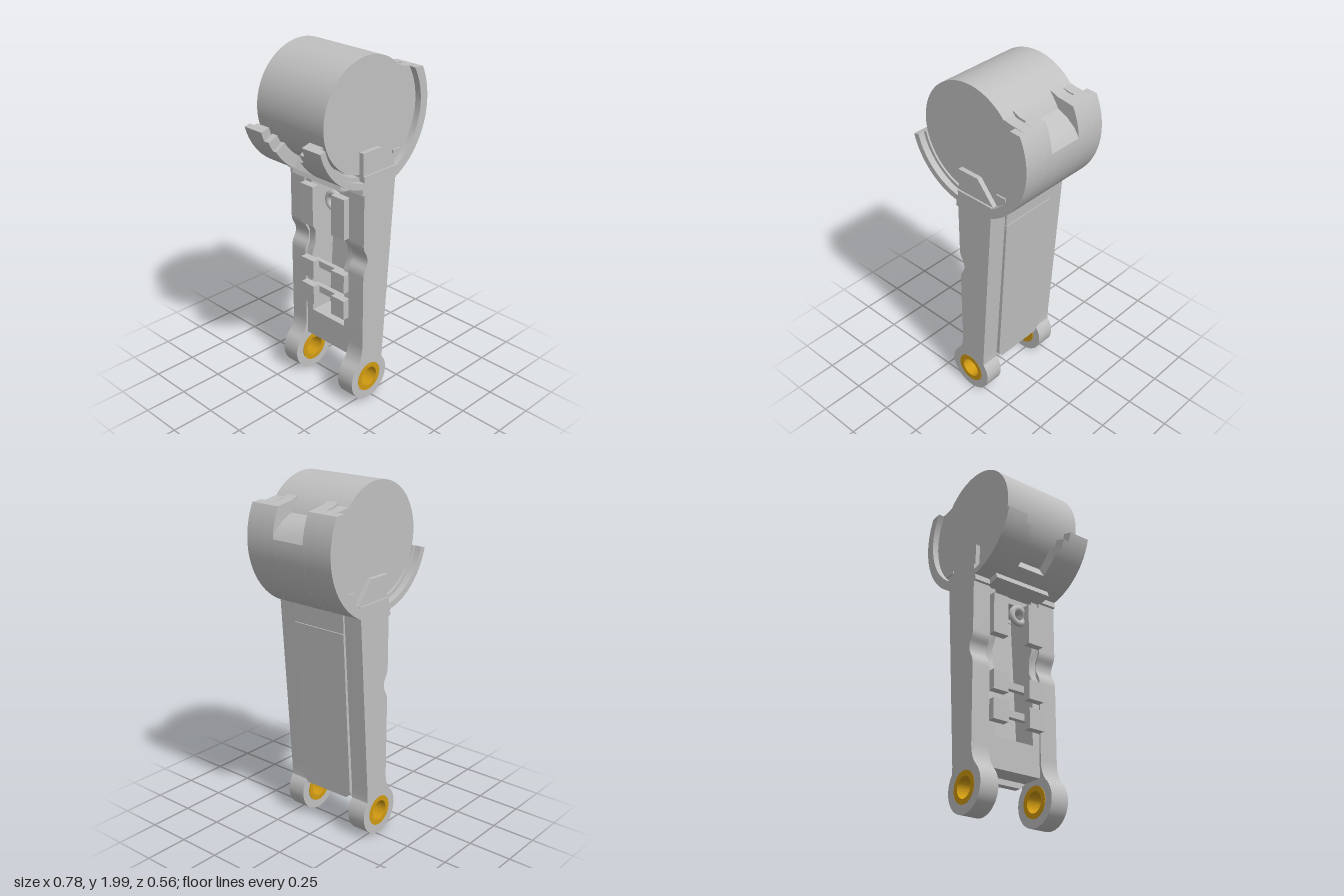
import * as THREE from 'three';
import { toCreasedNormals } from 'three/addons/utils/BufferGeometryUtils.js';

const grey = new THREE.MeshStandardMaterial({ color: 0xc0c0c0 });
grey.name = 'castGrey';
const brass = new THREE.MeshStandardMaterial({ color: 0xd09a12 });
brass.name = 'brass';

const CX = -0.024, DRUM_Y = 1.69, EYE_Y = 0.143;
const V = (x, y) => new THREE.Vector2(x, y);

// points on an arc about the drum axis, angles in degrees
function arc(r, a0, a1, n = 40) {
  return Array.from({ length: n + 1 }, (_, i) => {
    const a = THREE.MathUtils.degToRad(a0 + ((a1 - a0) * i) / n);
    return V(CX + r * Math.cos(a), DRUM_Y + r * Math.sin(a));
  });
}

function extrude(shape, z0, z1) {
  const g = new THREE.ExtrudeGeometry(shape, { depth: z1 - z0, bevelEnabled: false, curveSegments: 28 });
  g.translate(0, 0, z0);
  return toCreasedNormals(g, 0.5);
}

export function createModel() {
  const model = new THREE.Group();
  model.name = 'drumLink';
  const add = (name, geometry, material = grey) => {
    const m = new THREE.Mesh(geometry, material);
    m.name = name;
    model.add(m);
    return m;
  };
  // same outline on the +z and -z sides
  const pair = (name, shape, z0, z1, material) => {
    add(name + 'Front', extrude(shape, z0, z1), material);
    add(name + 'Back', extrude(shape, -z1, -z0), material);
  };
  const box = (name, x0, x1, y0, y1, z0, z1) => {
    const g = new THREE.BoxGeometry(x1 - x0, y1 - y0, z1 - z0);
    add(name, g.translate((x0 + x1) / 2, (y0 + y1) / 2, (z0 + z1) / 2));
  };
  const boxPair = (name, x0, x1, y0, y1, z0, z1) => {
    box(name + 'Front', x0, x1, y0, y1, z0, z1);
    box(name + 'Back', x0, x1, y0, y1, -z1, -z0);
  };

  // drum
  const drum = new THREE.CylinderGeometry(0.31, 0.31, 0.486, 96);
  drum.rotateX(Math.PI / 2).translate(CX, DRUM_Y, 0);
  add('drum', drum);

  // cradle on the +x side, in slices along z with their own top edges
  const cradle = (rIn, aIn, aOut, end, top) =>
    new THREE.Shape([...arc(0.414, aOut, end), ...arc(rIn, end, aIn), ...top]);
  const notch = cradle(0.3, 28, 4, -109, [V(0.25, 1.833), V(0.31, 1.805), V(0.36, 1.765)]);
  add('cradleMiddle', extrude(notch, -0.1, 0.1));
  const clip = cradle(0.3, 40, 27, -109, [V(0.2, 1.912), V(0.245, 1.893), V(0.285, 1.888)]);
  pair('clipInner', clip, 0.1, 0.17);
  const slot = cradle(0.3, 26, 27, -109, [V(0.285, 1.83), V(0.285, 1.888)]);
  pair('clipSlot', slot, 0.17, 0.182);
  const clipOuter = cradle(0.3, 38, 27, -100, [V(0.212, 1.898), V(0.25, 1.89), V(0.285, 1.886)]);
  pair('clipOuter', clipOuter, 0.182, 0.243);
  pair('cradleLip', cradle(0.362, 32, 27, -100, []), 0.243, 0.28);
  boxPair('rimStop', 0.165, 0.225, 1.438, 1.456, 0.24, 0.252);

  // curved fingers on the -x side
  const finger = (rIn, end) => new THREE.Shape([...arc(0.38, -90, end, 24), ...arc(rIn, end, -90, 24)]);
  pair('fingerLip', finger(0.345, -165), 0.243, 0.28);
  pair('finger', finger(0.325, -165), 0.15, 0.243);
  pair('fingerShoulder', finger(0.315, -157), 0.115, 0.15);
  pair('fingerRoot', finger(0.305, -148), 0.09, 0.115);
  add('fingerBridge', extrude(finger(0.3, -122), -0.09, 0.09));

  // side arms with a bored eye at the foot
  const arm = new THREE.Shape();
  arm.moveTo(0.158, 1.383);
  arm.lineTo(-0.08, 1.383);
  arm.lineTo(-0.08, 0.99);
  arm.bezierCurveTo(-0.08, 0.94, -0.05, 0.94, -0.05, 0.89);
  arm.bezierCurveTo(-0.05, 0.85, -0.08, 0.85, -0.08, 0.79);
  arm.lineTo(-0.08, 0.36);
  arm.quadraticCurveTo(-0.08, 0.285, -0.121, 0.24);
  arm.absarc(CX, EYE_Y, 0.137, Math.PI * 0.75, Math.PI * 2.22, false);
  arm.quadraticCurveTo(0.08, 0.25, 0.083, 0.3);
  arm.closePath();
  const bore = new THREE.Path();
  bore.absarc(CX, EYE_Y, 0.087, 0, Math.PI * 2, true);
  arm.holes.push(bore);
  pair('arm', arm, 0.17, 0.28);

  // pointed tabs holding the drum faces
  pair('drumTab', new THREE.Shape([
    V(-0.08, 1.32), V(0.165, 1.32), V(0.16, 1.383), V(0.055, 1.508), V(-0.08, 1.508),
  ]), 0.2, 0.27);

  // eye bushings
  const ring = new THREE.Shape();
  ring.absarc(CX, EYE_Y, 0.087, 0, Math.PI * 2, false);
  const hole = new THREE.Path();
  hole.absarc(CX, EYE_Y, 0.058, 0, Math.PI * 2, true);
  ring.holes.push(hole);
  pair('bushing', ring, 0.166, 0.281, brass);

  // sloping cover panel between the arms, outlined in z and y
  const panel = (name, pts, out) => {
    const g = new THREE.ExtrudeGeometry(new THREE.Shape(pts), { depth: 0.045, bevelEnabled: false });
    g.rotateY(Math.PI / 2).translate(0.055 + out, 0, 0);
    const p = g.attributes.position;
    for (let i = 0; i < p.count; i++) p.setX(i, p.getX(i) + 0.062 * (p.getY(i) - 0.228));
    g.computeVertexNormals();
    add(name, g);
  };
  panel('coverPanel', [
    V(-0.14, 0.228), V(0.14, 0.228), V(0.17, 0.258), V(0.17, 1.213), V(-0.17, 1.213), V(-0.17, 0.258),
  ], 0);
  panel('coverPanelTop', [V(-0.17, 1.215), V(0.17, 1.215), V(0.17, 1.35), V(-0.17, 1.35)], -0.003);

  // frame inside the channel
  box('footBlock', -0.07, 0.075, 0.26, 0.43, -0.17, 0.17);
  pair('frameRail', new THREE.Shape([
    V(-0.07, 0.43), V(0.08, 0.43), V(0.13, 1.3), V(-0.07, 1.3), V(-0.07, 0.98),
    V(-0.045, 0.93), V(-0.045, 0.85), V(-0.07, 0.8),
  ]), 0.125, 0.17);
  box('headBlock', -0.04, 0.14, 1.24, 1.34, -0.17, 0.17);
  for (const y of [0.58, 0.74]) box('crossbar', -0.06, -0.03, y - 0.02, y + 0.02, -0.13, 0.13);

  // catch plates along the open side
  for (const [y0, y1] of [[0.505, 0.62], [0.67, 0.78], [0.995, 1.23]])
    boxPair('catchPlate', -0.115, -0.07, y0, y1, 0.07, 0.168);

  // cable eyelet
  const eyelet = new THREE.TorusGeometry(0.045, 0.018, 12, 28);
  eyelet.rotateY(Math.PI / 2).translate(-0.06, 1.17, 0.04);
  add('eyelet', eyelet);

  return model;
}
